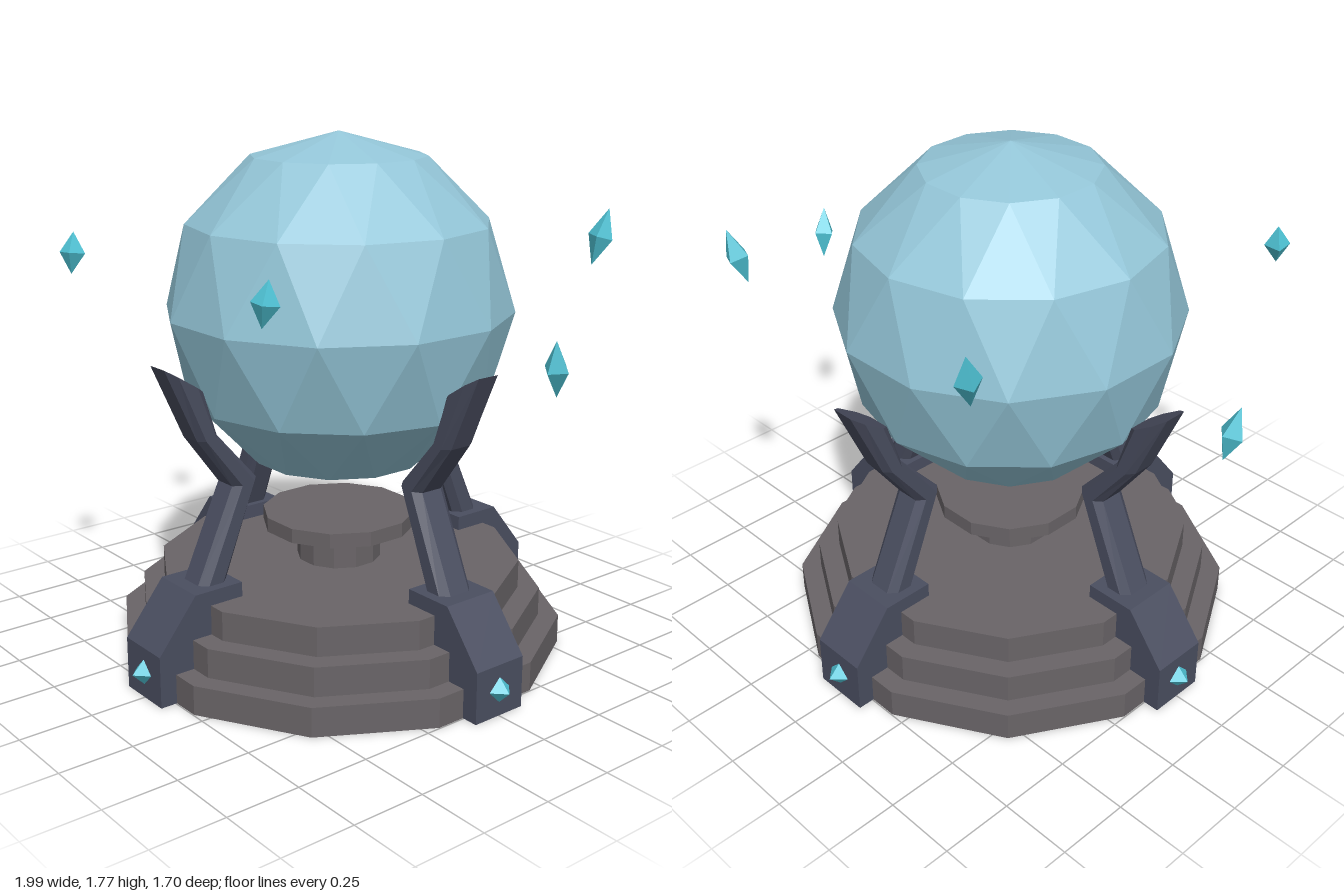
import * as THREE from 'three';
import { ConvexGeometry } from 'three/addons/geometries/ConvexGeometry.js';

const mat = (name, color) => {
  const m = new THREE.MeshStandardMaterial({ color, flatShading: true });
  m.name = name;
  return m;
};

// Faceted ball: each ring of 12 points is turned half a step from the next
function orbGeometry(r) {
  const pts = [new THREE.Vector3(0, r, 0), new THREE.Vector3(0, -r, 0)];
  for (let k = 1; k < 6; k++) {
    const polar = (k * Math.PI) / 6;
    for (let j = 0; j < 12; j++) {
      const a = ((j + (k % 2) / 2) * Math.PI) / 6;
      pts.push(new THREE.Vector3().setFromSphericalCoords(r, polar, a));
    }
  }
  return new ConvexGeometry(pts);
}

// Chamfered bar swept through stations of [outerZ, outerY, innerZ, innerY]
function armGeometry(stations, half) {
  const c = half * 0.6;
  const section = [[-c, 0], [c, 0], [half, 0.25], [half, 0.75], [c, 1], [-c, 1], [-half, 0.75], [-half, 0.25]];
  const n = section.length, pos = [], idx = [];
  for (const [oz, oy, iz, iy] of stations)
    for (const [x, t] of section) pos.push(x, oy + (iy - oy) * t, oz + (iz - oz) * t);
  for (let i = 0; i < stations.length - 1; i++)
    for (let j = 0; j < n; j++) {
      const a = i * n + j, b = i * n + ((j + 1) % n);
      idx.push(a, b, b + n, a, b + n, a + n);
    }
  const top = (stations.length - 1) * n;
  for (let j = 1; j < n - 1; j++) idx.push(top, top + j, top + j + 1, 0, j + 1, j);
  const indexed = new THREE.BufferGeometry();
  indexed.setAttribute('position', new THREE.Float32BufferAttribute(pos, 3));
  indexed.setIndex(idx);
  const g = indexed.toNonIndexed();
  g.computeVertexNormals();
  return g;
}

// Sloped block under each arm, facing +z
function footGeometry() {
  const profile = [[0.48, 0], [0.805, 0], [0.805, 0.175], [0.665, 0.35], [0.485, 0.35]];
  const shape = new THREE.Shape(profile.map(([x, y]) => new THREE.Vector2(x, y)));
  const g = new THREE.ExtrudeGeometry(shape, { depth: 0.2, bevelEnabled: false });
  return g.rotateY(-Math.PI / 2).translate(0.1, 0, 0);
}

export function createModel() {
  const model = new THREE.Group();
  model.name = 'orbPedestal';
  const stone = mat('stone', 0x696467);
  const metal = mat('darkMetal', 0x4a4e60);
  const glass = mat('paleBlueGlass', 0x94c6d8);
  const crystal = mat('turquoiseCrystal', 0x4fc4d6);

  const add = (parent, name, geometry, material) => {
    const m = new THREE.Mesh(geometry, material);
    m.name = name;
    parent.add(m);
    return m;
  };

  // Stepped base, neck and plate: [name, radius, bottom, top]
  for (const [name, r, y0, y1] of [
    ['lowerStep', 0.773, 0, 0.1],
    ['middleStep', 0.703, 0.1, 0.2],
    ['upperStep', 0.629, 0.2, 0.3],
    ['neck', 0.146, 0.3, 0.42],
    ['plate', 0.266, 0.42, 0.47],
  ]) {
    const g = new THREE.CylinderGeometry(r, r, y1 - y0, 12).rotateY(Math.PI / 12);
    add(model, name, g, stone).position.y = (y0 + y1) / 2;
  }

  add(model, 'orb', orbGeometry(0.59), glass).position.y = 1.18;

  // Four bent arms with feet and inset gems
  const arm = armGeometry([
    [0.625, 0.33, 0.515, 0.33],
    [0.475, 0.66, 0.38, 0.675],
    [0.604, 0.835, 0.53, 0.845],
    [0.717, 1.085, 0.578, 0.995],
  ], 0.066);
  const foot = footGeometry();
  const gem = new THREE.OctahedronGeometry(0.045);
  for (let k = 0; k < 4; k++) {
    const claw = new THREE.Group();
    claw.name = 'claw';
    claw.rotation.y = (k * Math.PI) / 2;
    add(claw, 'foot', foot, metal);
    add(claw, 'arm', arm, metal);
    add(claw, 'footGem', gem, crystal).position.set(0, 0.09, 0.803);
    model.add(claw);
  }

  // Floating crystals in mirrored pairs: centre, long axis, half height, yaw
  const up = new THREE.Vector3(0, 1, 0);
  const floating = [
    { at: [0.955, 1.15, -0.037], axis: [0.025, 0.18, 0.035], h: 0.092, yaw: 0.1 },
    { at: [0.545, 1.37, 0.697], axis: [0.01, 0.14, -0.02], h: 0.07, yaw: 0.75 },
    { at: [0.537, 1.42, -0.685], axis: [0.03, 0.19, -0.043], h: 0.098, yaw: 0.4 },
  ];
  for (const s of [1, -1])
    for (const { at, axis, h, yaw } of floating) {
      const g = new THREE.OctahedronGeometry(1).scale(0.043, h, 0.043).rotateY(s * yaw);
      const m = add(model, 'floatingCrystal', g, crystal);
      m.position.set(s * at[0], at[1], at[2]);
      m.quaternion.setFromUnitVectors(up, new THREE.Vector3(s * axis[0], axis[1], axis[2]).normalize());
    }
  return model;
}
